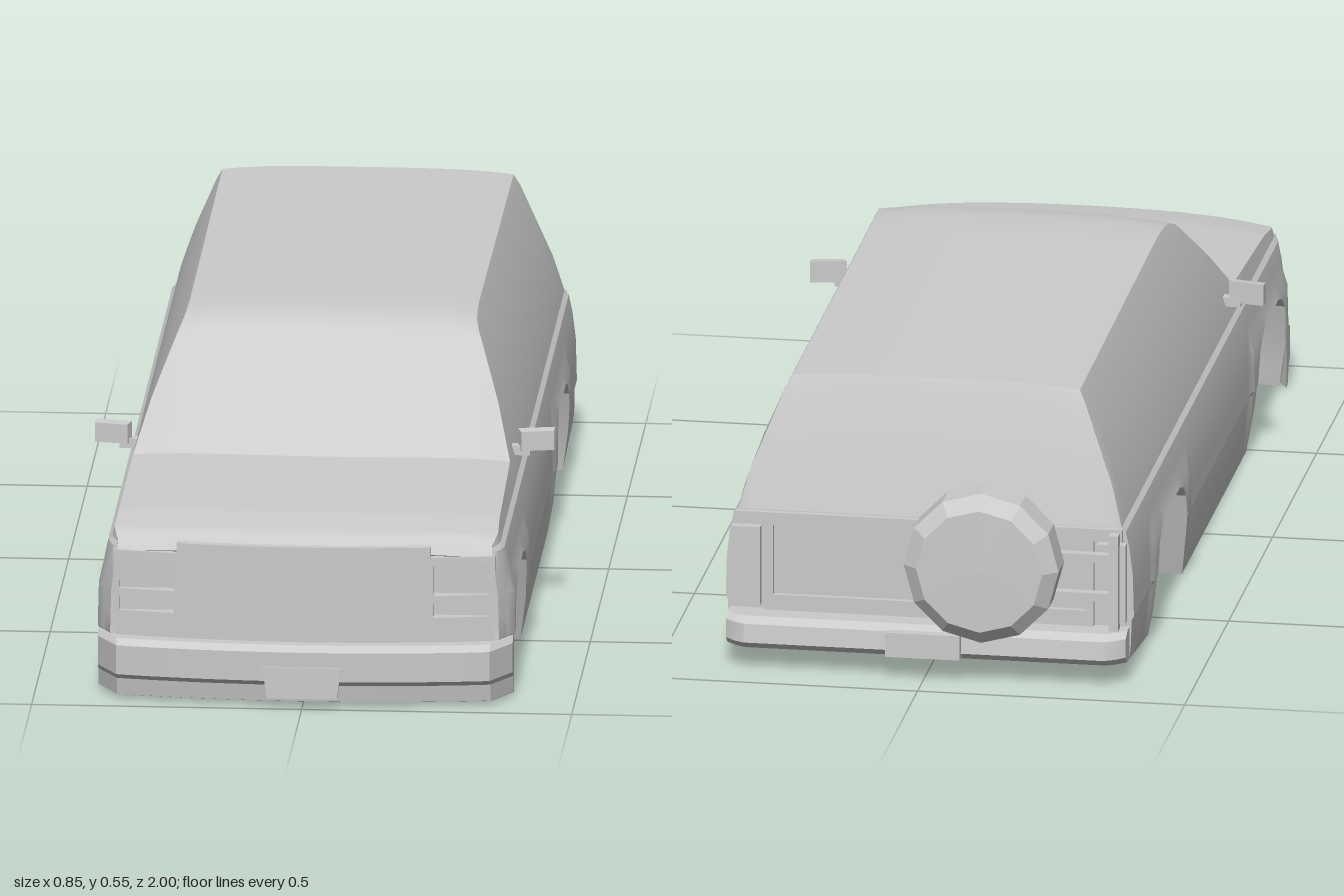
import * as THREE from 'three';
import { toCreasedNormals } from 'three/addons/utils/BufferGeometryUtils.js';

const grey = new THREE.MeshStandardMaterial({ color: 0xcccccc });
const flat = new THREE.MeshStandardMaterial({ color: 0xcccccc, flatShading: true });
const { clamp } = THREE.MathUtils;

// Piecewise linear lookup in [key, value] pairs with ascending keys
function lerpTable(table, k) {
  if (k <= table[0][0]) return table[0][1];
  for (let i = 1; i < table.length; i++) {
    const [k0, v0] = table[i - 1], [k1, v1] = table[i];
    if (k <= k1) return v0 + (v1 - v0) * (k - k0) / (k1 - k0);
  }
  return table[table.length - 1][1];
}

// Edge height of hood, windscreen, roof and rear window along z
const TOP = [[-0.86, 0.292], [-0.8, 0.51], [-0.79, 0.532], [0.1, 0.537], [0.16, 0.535], [0.2, 0.53],
  [0.235, 0.517], [0.46, 0.333], [0.8, 0.318], [0.88, 0.307], [0.905, 0.295], [0.92, 0.275]];
// Height of the crown at the centre line
const CROWN = [[-0.86, 0], [-0.79, 0.009], [0.3, 0.009], [0.46, 0.012], [0.92, 0.012]];
// Underside, and the lower edge of the side panels with the wheel arches
const FLOOR = [[-0.86, 0.037], [-0.635, 0.01], [-0.56, 0], [0.87, 0], [0.92, 0.01]];
const ARCHES = [
  [[-0.635, 0.01], [-0.62, 0.09], [-0.59, 0.17], [-0.565, 0.193], [-0.53, 0.205], [-0.35, 0.205],
    [-0.315, 0.193], [-0.292, 0.17], [-0.268, 0.09], [-0.24, 0]],
  [[0.488, 0], [0.52, 0.09], [0.553, 0.17], [0.58, 0.193], [0.62, 0.205], [0.77, 0.205],
    [0.805, 0.193], [0.835, 0.17], [0.86, 0.09], [0.875, 0]],
];
// Half width of the body by height
const WIDTH = [[0, 0.37], [0.06, 0.376], [0.113, 0.378], [0.12, 0.382], [0.2, 0.38], [0.25, 0.374],
  [0.284, 0.367], [0.292, 0.359], [0.33, 0.35], [0.42, 0.32], [0.51, 0.281], [0.537, 0.267]];
const ROWS = [0, 0.06, 0.113, 0.12, 0.16, 0.2, 0.225, 0.25, 0.284, 0.292, 0.33, 0.375, 0.42, 0.465, 0.51, 0.545];
const WELL = 0.215;

function halfWidth(y, z) {
  const nearArch = ARCHES.some(a => z > a[0][0] - 0.02 && z < a[a.length - 1][0] + 0.02);
  const flare = nearArch && y > 0.03 && y < 0.22 ? 0.005 : 0;
  return lerpTable(WIDTH, y) + flare - 0.022 * clamp((z - 0.86) / 0.06, 0, 1) ** 2;
}

// One closed loop around the body at depth z, starting at the floor centre
function bodySection(z) {
  const yf = lerpTable(FLOOR, z), yt = lerpTable(TOP, z), crown = lerpTable(CROWN, z);
  const arch = ARCHES.find(a => z >= a[0][0] && z <= a[a.length - 1][0]);
  const yb = arch ? Math.max(yf, lerpTable(arch, z)) : yf;
  const half = [[0, yf], [WELL, yf], [WELL, yb]];
  for (const r of ROWS) {
    const y = clamp(r, yb, yt);
    half.push([halfWidth(y, z), y]);
  }
  const w = halfWidth(yt, z);
  for (const t of [0.95, 0.85, 0.7, 0.5, 0.25, 0]) half.push([w * t, yt + crown * (1 - t ** 4)]);
  const loop = half.concat(half.slice().reverse().map(([x, y]) => [-x, y]));
  const bow = 0.038 * clamp((z - 0.05) / 0.3, 0, 1);
  return loop.map(([x, y]) => [x, y, z + bow * Math.max(0, 1 - (x / 0.37) ** 2)]);
}

function bodyGeometry() {
  const keys = new Set([...TOP, ...FLOOR, ...ARCHES.flat()].map(p => p[0]));
  for (let z = -0.84; z < 0.92; z += 0.04) keys.add(z);
  for (const a of ARCHES) for (const z of [a[0][0] - 0.02, a[a.length - 1][0] + 0.02]) keys.add(z);
  const sections = [...keys].sort((a, b) => a - b).map(bodySection);
  const n = sections[0].length, index = [], last = (sections.length - 1) * n;
  for (let j = 0; j < sections.length - 1; j++) {
    for (let i = 0; i < n; i++) {
      const k = (i + 1) % n, a = j * n + i, b = j * n + k;
      index.push(a, b, a + n, b, b + n, a + n);
    }
  }
  // end walls, joined row by row from side to side
  for (let i = 0; i < n / 2 - 1; i++) {
    const m = n - 1 - i;
    index.push(last + i, last + i + 1, last + m, last + i + 1, last + m - 1, last + m);
    index.push(i, m, i + 1, i + 1, m, m - 1);
  }
  const g = new THREE.BufferGeometry();
  g.setAttribute('position', new THREE.Float32BufferAttribute(sections.flat(2), 3));
  g.setIndex(index);
  return toCreasedNormals(g, 0.45);
}

// Moves every vertex in z by a rule of x
function sweep(g, rule) {
  const p = g.attributes.position;
  for (let i = 0; i < p.count; i++) p.setZ(i, p.getZ(i) + rule(p.getX(i)));
  return toCreasedNormals(g, 0.45);
}

const noseSweep = x => -0.038 * (x / 0.37) ** 2;

// Box given by its limits, curved with the nose when bowed
function block(x0, x1, y0, y1, z0, z1, bowed = false) {
  const g = new THREE.BoxGeometry(x1 - x0, y1 - y0, z1 - z0, bowed ? 12 : 1, 1, 1);
  g.translate((x0 + x1) / 2, (y0 + y1) / 2, (z0 + z1) / 2);
  return bowed ? sweep(g, noseSweep) : g;
}

// Bar across the car with a [z, y] profile
function crossBar(profile, half, rule) {
  const shape = new THREE.Shape(profile.map(([z, y]) => new THREE.Vector2(-z, y)));
  const g = new THREE.ExtrudeGeometry(shape, { depth: half * 2, steps: 40, bevelEnabled: false });
  g.translate(0, 0, -half).rotateY(Math.PI / 2);
  return sweep(g, rule);
}

export function createModel() {
  const car = new THREE.Group();
  car.name = 'offRoadCarBody';
  const add = (name, geometry, material = grey, parent = car) => {
    const mesh = new THREE.Mesh(geometry, material);
    mesh.name = name;
    parent.add(mesh);
    return mesh;
  };

  add('bodyShell', bodyGeometry());

  // Nose: grille, valance and headlight frames
  add('grille', block(-0.235, 0.235, 0.145, 0.3, 0.92, 0.963, true));
  add('frontValance', block(-0.35, 0.35, 0.105, 0.165, 0.9, 0.961, true));
  for (const s of [-1, 1]) {
    const side = s > 0 ? 'left' : 'right';
    const bar = (name, xa, xb, y0, y1) =>
      add(side + name, block(Math.min(s * xa, s * xb), Math.max(s * xa, s * xb), y0, y1, 0.9, 0.962, true));
    bar('HeadlightTopFrame', 0.23, 0.352, 0.264, 0.28);
    bar('HeadlightDivider', 0.23, 0.352, 0.192, 0.207);
    bar('HeadlightOuterFrame', 0.343, 0.353, 0.16, 0.28);
    bar('HeadlightInnerFrame', 0.228, 0.24, 0.16, 0.28);

    // Door mirror
    const mirror = new THREE.Group();
    mirror.name = side + 'Mirror';
    const housing = new THREE.CylinderGeometry(0.026, 0.029, 0.02, 4, 1).rotateY(Math.PI / 4)
      .rotateX(Math.PI / 2).scale(1.68, 1, 1);
    const head = add(side + 'MirrorHousing', housing, flat, mirror);
    head.position.set(s * 0.393, 0.35, 0.372);
    head.rotation.y = s * 0.2;
    add(side + 'MirrorArm', block(s * 0.362 - 0.018, s * 0.362 + 0.018, 0.322, 0.34, 0.364, 0.382), grey, mirror);
    car.add(mirror);

    // Tail lamp
    add(side + 'TailLamp', block(s * 0.342 - 0.027, s * 0.342 + 0.027, 0.11, 0.262, -0.878, -0.845));
    add(side + 'TailgatePost', block(s * 0.3 - 0.008, s * 0.3 + 0.008, 0.1, 0.28, -0.87, -0.85));
  }

  // Front bumper with wrapped corners
  const frontProfile = [[0.955, 0.118], [0.982, 0.118], [0.998, 0.108], [0.996, 0.052], [0.978, 0.04],
    [0.972, 0.008], [0.955, 0.003]];
  add('frontBumper', crossBar(frontProfile, 0.384, x =>
    -0.028 * (x / 0.345) ** 2 - 1.5 * Math.max(0, Math.abs(x) - 0.345)));
  const plate = new THREE.Shape([[-0.065, 0.02], [0.065, 0.02], [0.073, 0.08], [-0.073, 0.08]]
    .map(([x, y]) => new THREE.Vector2(x, y)));
  add('frontPlate', new THREE.ExtrudeGeometry(plate, { depth: 0.03, bevelEnabled: false }).translate(0, 0, 0.97));

  // Rear bumper, plate holder and tailgate frame
  const rearProfile = [[-0.83, 0.1], [-0.91, 0.1], [-0.93, 0.09], [-0.934, 0.055], [-0.915, 0.04], [-0.83, 0.034]];
  add('rearBumper', crossBar(rearProfile, 0.374, x => 0.9 * Math.max(0, Math.abs(x) - 0.345)));
  add('rearPlateHolder', block(-0.07, 0.07, 0.045, 0.092, -0.945, -0.9));
  add('tailgateTopRail', block(-0.362, 0.362, 0.266, 0.29, -0.872, -0.85));
  add('tailgateBottomRail', block(-0.3, 0.3, 0.098, 0.13, -0.87, -0.85));

  // Spare wheel on its swing carrier
  const tyre = [[0, 0], [0.118, 0], [0.145, 0.022], [0.145, 0.085], [0.118, 0.108], [0, 0.11]]
    .map(([r, h]) => new THREE.Vector2(r, h));
  const spare = add('spareWheel', new THREE.LatheGeometry(tyre, 12), flat);
  spare.rotation.x = -Math.PI / 2;
  spare.position.set(-0.115, 0.237, -0.89);
  add('spareMount', block(-0.165, -0.065, 0.18, 0.29, -0.9, -0.85));
  for (const y of [0.165, 0.24]) add('carrierArm', block(-0.35, -0.1, y - 0.008, y + 0.008, -0.895, -0.878));
  add('carrierPost', block(-0.358, -0.34, 0.1, 0.285, -0.895, -0.87));

  return car;
}
